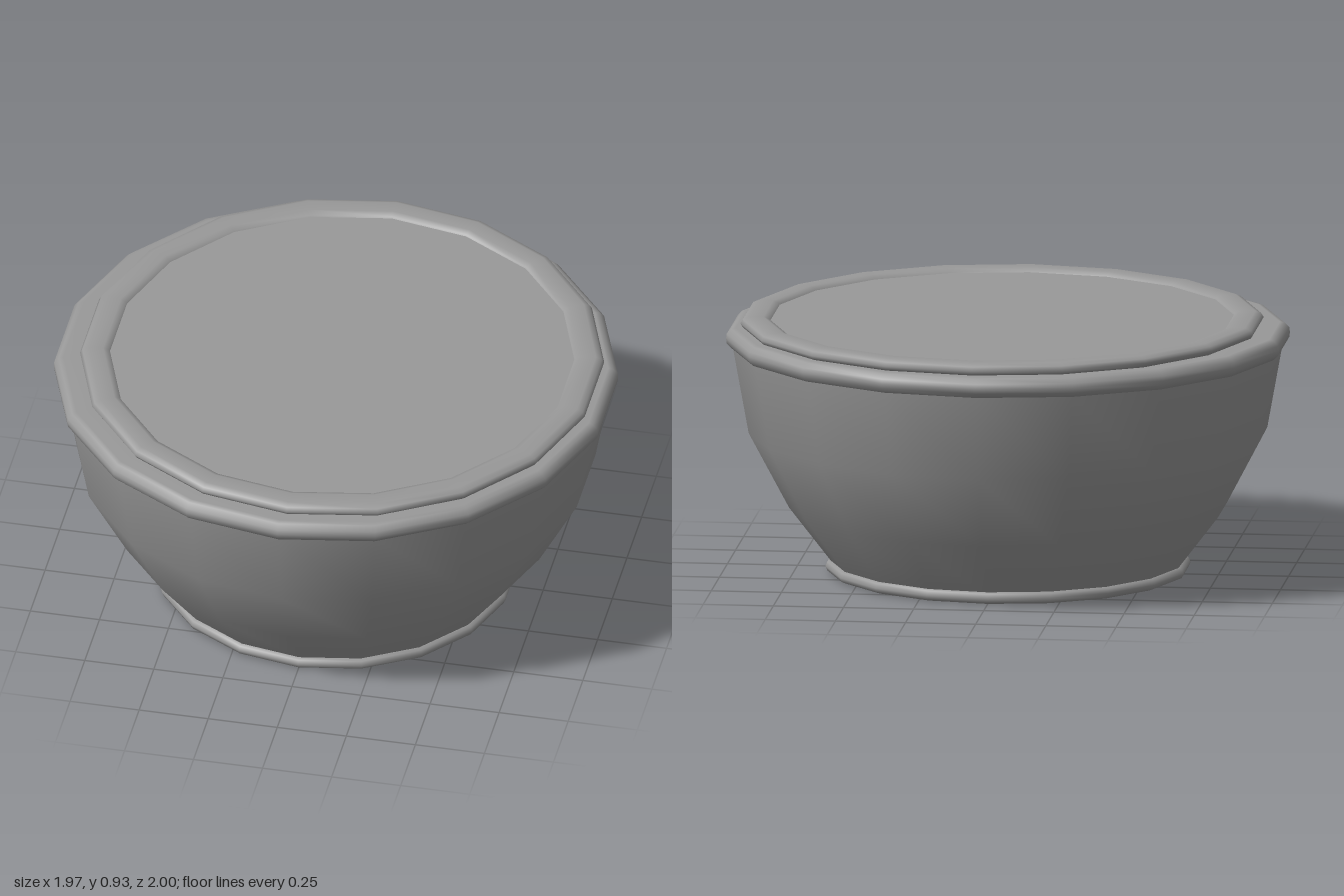
import * as THREE from 'three';

const SIDES = 18;

export function createModel() {
  const model = new THREE.Group();
  const grey = new THREE.MeshStandardMaterial({ color: 0x999999 });
  grey.name = 'grey';

  // Turns a profile of [radius, height] points, running up the outside
  function turned(name, profile, parent = model) {
    const points = profile.map(([r, y]) => new THREE.Vector2(r, y));
    const mesh = new THREE.Mesh(new THREE.LatheGeometry(points, SIDES), grey);
    mesh.name = name;
    parent.add(mesh);
  }

  // Flat ring with rounded edges
  function ring(name, inner, outer, bottom, top, bevel, parent = model) {
    const middle = (bottom + top) / 2;
    const soft = bevel * 0.3;
    turned(name, [
      [inner, middle], [inner + soft, bottom + soft], [inner + bevel, bottom],
      [outer - bevel, bottom], [outer - soft, bottom + soft], [outer, middle],
      [outer - soft, top - soft], [outer - bevel, top],
      [inner + bevel, top], [inner + soft, top - soft], [inner, middle],
    ], parent);
  }

  // Bowl wall
  turned('bowl', [[0.62, 0.03], [0.777, 0.235], [0.92, 0.505], [0.977, 0.82]]);

  // Foot ring and recessed underside
  ring('footRing', 0.592, 0.648, 0, 0.044, 0.022);
  turned('footBase', [[0, 0.014], [0.605, 0.014]]);

  // Rolled rim, running in under the lid
  turned('rim', [
    [0.965, 0.809], [0.982, 0.813], [0.998, 0.83], [1, 0.847],
    [0.998, 0.864], [0.982, 0.881], [0.965, 0.885], [0.84, 0.885],
  ]);

  // Lid, slightly narrow and off centre
  const lid = new THREE.Group();
  lid.name = 'lid';
  lid.position.set(0.02, 0, -0.01);
  lid.scale.x = 0.98;
  model.add(lid);
  ring('lidRing', 0.833, 0.947, 0.88, 0.926, 0.03, lid);
  turned('lidTop', [[0.845, 0.912], [0, 0.912]], lid);

  return model;
}
